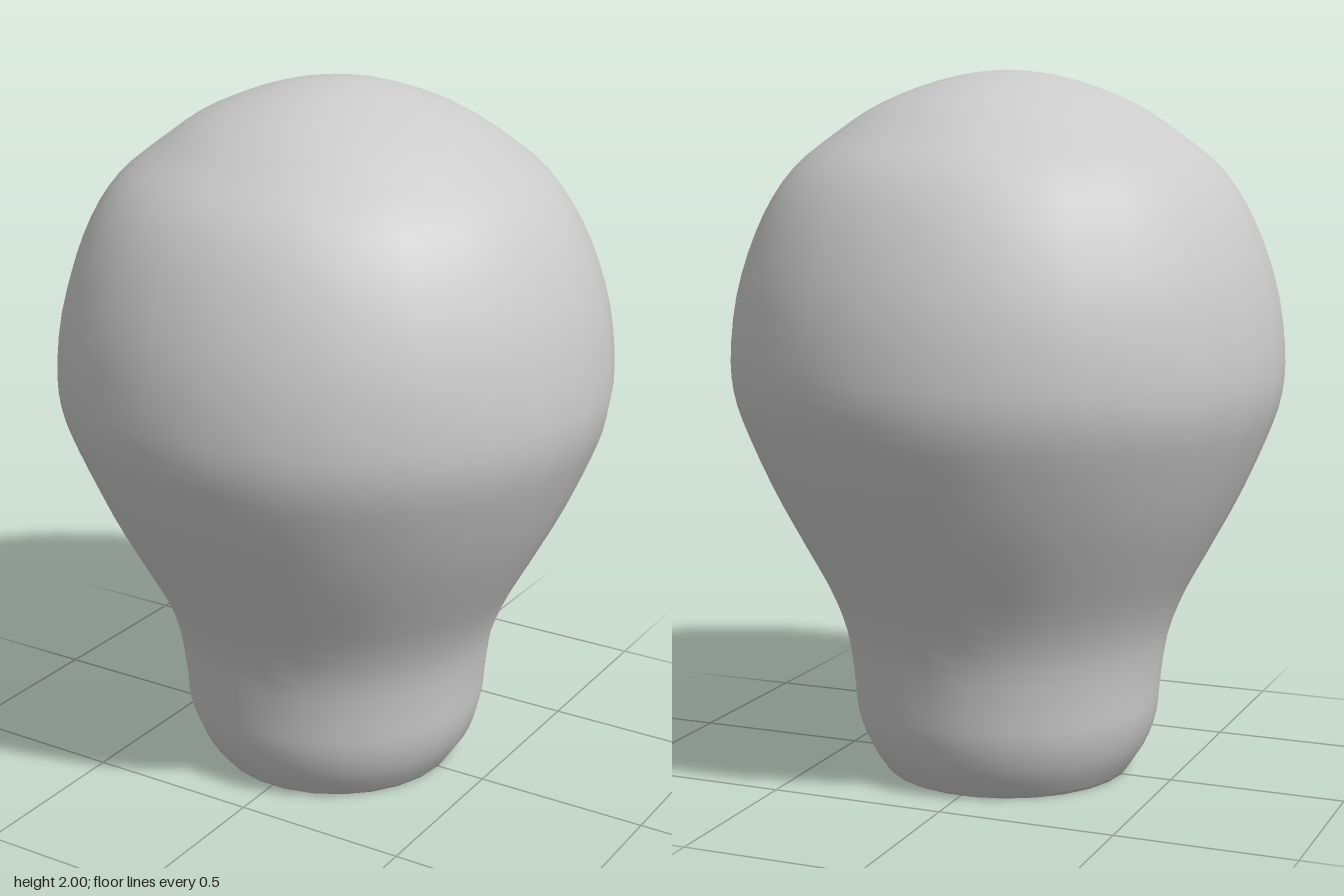
import * as THREE from 'three';

export function createModel() {
  const group = new THREE.Group();

  // Outline of the bulb from the open neck up to the crown: [radius, height]
  const outline = [
    [0.36, 0.01], [0.405, 0.08], [0.435, 0.17], [0.445, 0.27], [0.465, 0.4], [0.51, 0.52],
    [0.58, 0.65], [0.665, 0.81], [0.74, 0.98], [0.776, 1.09], [0.785, 1.2], [0.768, 1.36],
    [0.725, 1.51], [0.665, 1.64], [0.59, 1.74], [0.49, 1.82], [0.38, 1.895], [0.25, 1.952],
    [0.12, 1.988], [0, 2],
  ].map(([r, y]) => new THREE.Vector2(r, y));
  const profile = new THREE.SplineCurve(outline).getPoints(48);
  profile[profile.length - 1].set(0, 2);

  const material = new THREE.MeshStandardMaterial({ color: 0xcccccc, side: THREE.DoubleSide });
  const addLathe = (name, points) => {
    const mesh = new THREE.Mesh(new THREE.LatheGeometry(points, 26, Math.PI / 2), material);
    mesh.name = name;
    group.add(mesh);
  };

  // Hollow glass shell, open at the bottom
  addLathe('bulbShell', profile);

  // Thin lip turned under around the opening
  addLathe('neckLip', [new THREE.Vector2(0.342, 0), new THREE.Vector2(0.352, 0), profile[0].clone()]);

  return group;
}
